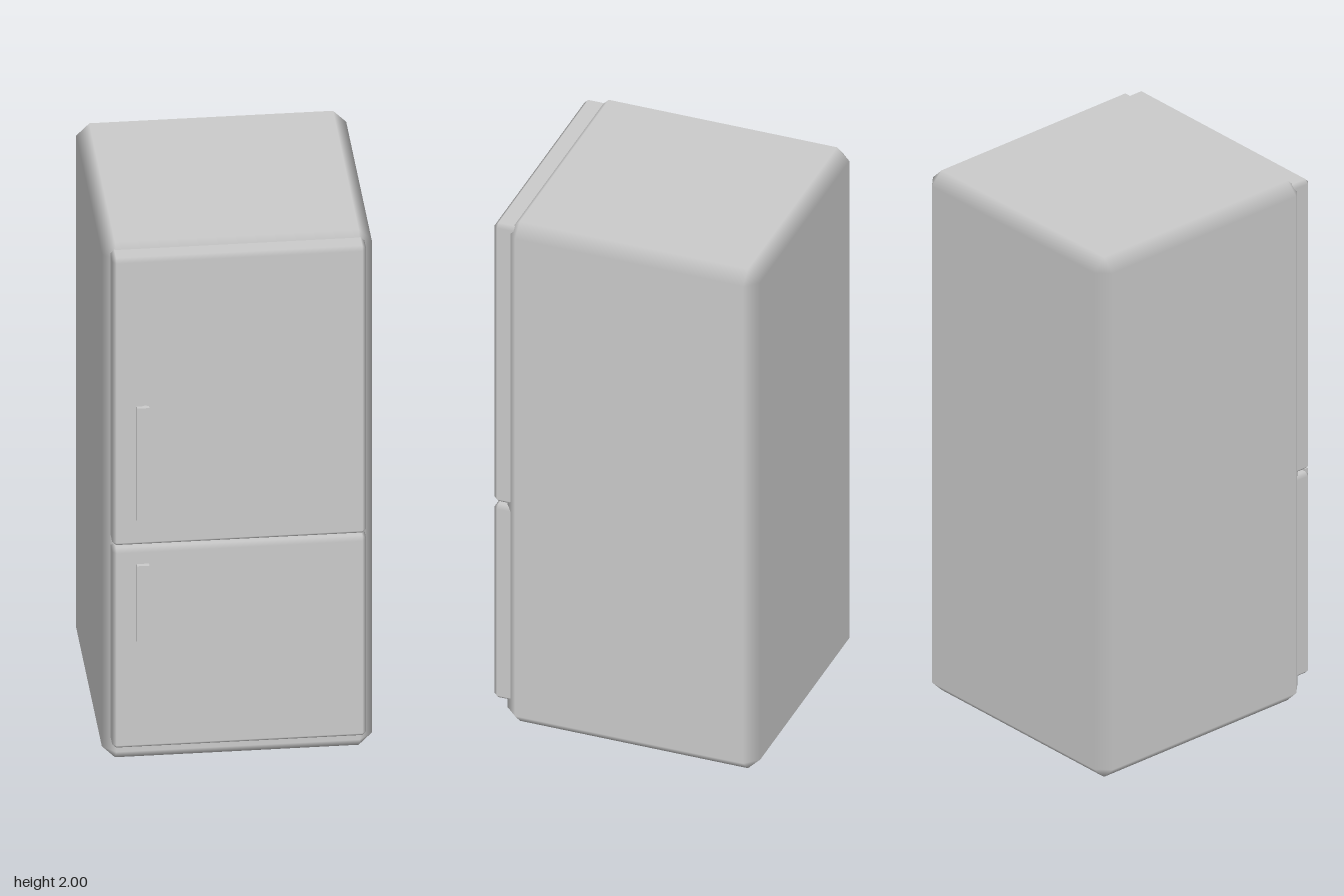
import * as THREE from 'three';
import { ConvexGeometry } from 'three/addons/geometries/ConvexGeometry.js';

const material = new THREE.MeshStandardMaterial({ color: 0xcccccc });

// Box with chamfered edges: flat main faces, shading blended across the chamfers
function chamferBox(w, h, d, c) {
  const half = [w / 2, h / 2, d / 2];
  const points = [];
  for (const sx of [-1, 1]) for (const sy of [-1, 1]) for (const sz of [-1, 1]) {
    const s = [sx, sy, sz];
    for (let axis = 0; axis < 3; axis++) {
      points.push(new THREE.Vector3(...s.map((v, i) => v * (half[i] - (i === axis ? 0 : c)))));
    }
  }
  const geometry = new ConvexGeometry(points);
  const pos = geometry.attributes.position;
  const normal = geometry.attributes.normal;
  for (let i = 0; i < pos.count; i++) {
    const p = [pos.getX(i), pos.getY(i), pos.getZ(i)];
    normal.setXYZ(i, ...p.map((v, k) => (Math.abs(v) > half[k] - c / 2 ? Math.sign(v) : 0)));
  }
  return geometry;
}

function add(parent, name, geometry, x, y, z) {
  const mesh = new THREE.Mesh(geometry, material);
  mesh.name = name;
  mesh.position.set(x, y, z);
  parent.add(mesh);
  return mesh;
}

// Flat vertical grip on two short posts
function makeHandle(name, bottom, top, postHeights) {
  const handle = new THREE.Group();
  handle.name = name;
  add(handle, 'grip', new THREE.BoxGeometry(0.042, top - bottom, 0.015), -0.334, (top + bottom) / 2, 0.5025);
  for (const y of postHeights) {
    const post = add(handle, 'post', new THREE.CylinderGeometry(0.0105, 0.0105, 0.05, 16), -0.3205, y, 0.473);
    post.rotation.x = Math.PI / 2;
  }
  return handle;
}

export function createModel() {
  const fridge = new THREE.Group();
  fridge.name = 'refrigerator';

  // Cabinet
  add(fridge, 'cabinet', chamferBox(0.92, 2, 0.92, 0.045), 0, 1, -0.05);

  // Doors, set slightly into the cabinet front
  const doors = [
    { name: 'upperDoor', bottom: 0.866, top: 1.98 },
    { name: 'lowerDoor', bottom: 0.08, top: 0.855 },
  ];
  for (const { name, bottom, top } of doors) {
    add(fridge, name, chamferBox(0.866, top - bottom, 0.09, 0.014), 0, (top + bottom) / 2, 0.41);
  }

  // Handles
  fridge.add(makeHandle('upperHandle', 0.99, 1.43, [1.017, 1.4]));
  fridge.add(makeHandle('lowerHandle', 0.52, 0.818, [0.557, 0.787]));

  return fridge;
}
